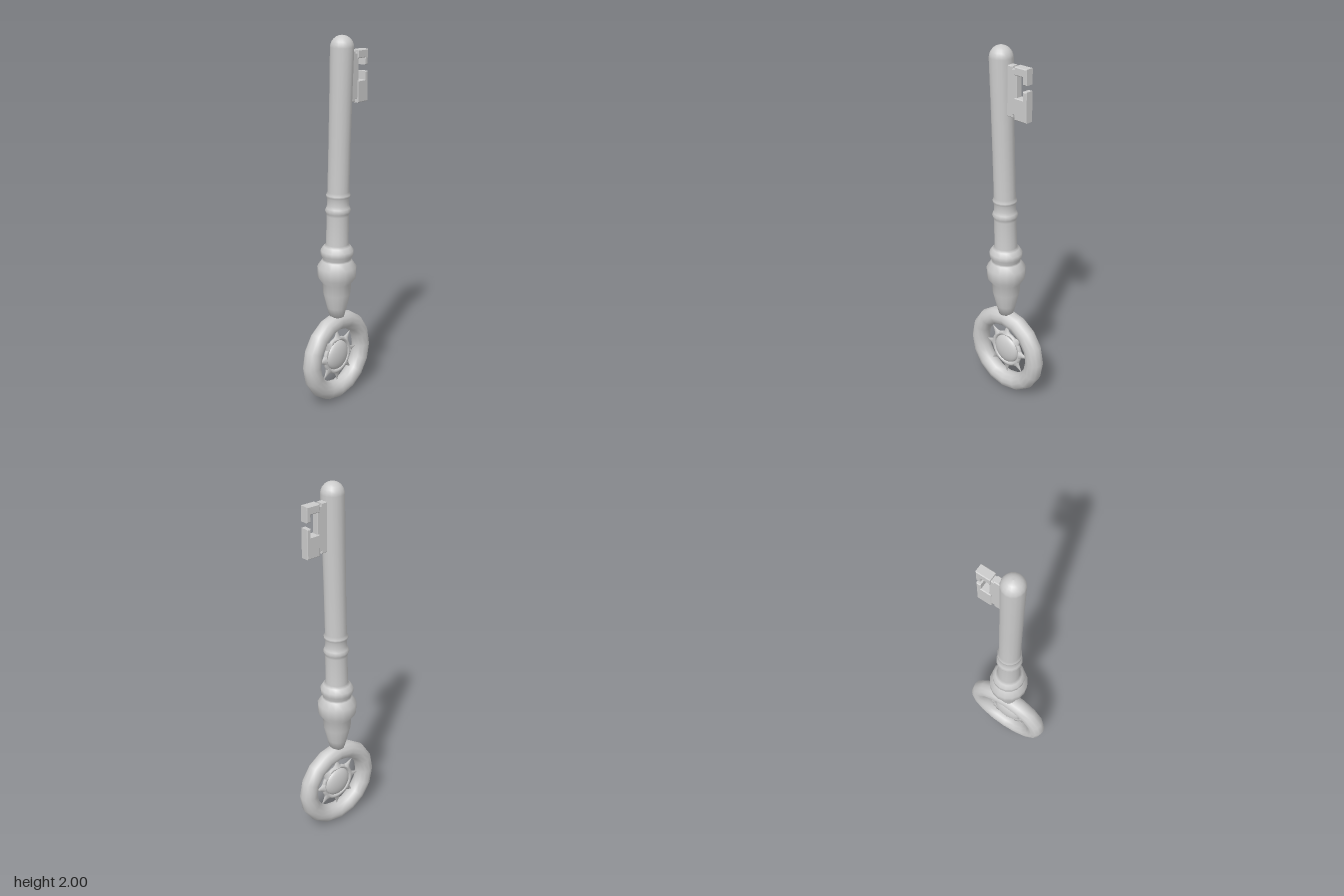
import * as THREE from 'three';

const material = new THREE.MeshStandardMaterial({ color: 0xcccccc, side: THREE.DoubleSide });

function add(parent, name, geometry, x = 0, y = 0, z = 0) {
  const mesh = new THREE.Mesh(geometry, material);
  mesh.name = name;
  mesh.position.set(x, y, z);
  parent.add(mesh);
  return mesh;
}

const points = (list) => list.map(([x, y]) => new THREE.Vector2(x, y));

// Plate of a given thickness, centred on z = 0
function plate(outline, depth) {
  const bevel = 0.004;
  const geometry = new THREE.ExtrudeGeometry(new THREE.Shape(points(outline)), {
    depth: depth - 2 * bevel, bevelEnabled: true, bevelSize: bevel,
    bevelOffset: -bevel, bevelThickness: bevel, bevelSegments: 1,
  });
  return geometry.translate(0, 0, bevel - depth / 2);
}

// Forward lean of the shaft, growing towards the tip
function lean(y) {
  if (y < 0.8) return 0;
  if (y < 1.2) return 0.01 * (y - 0.8) / 0.4;
  return 0.01 + 0.024 * Math.min(1, (y - 1.2) / 0.74);
}

export function createModel() {
  const key = new THREE.Group();
  key.name = 'key';

  // Bow: round ring with a star and domed boss inside
  const bow = new THREE.Group();
  bow.name = 'bow';
  bow.position.set(0, 0.256, -0.003);
  key.add(bow);
  add(bow, 'bowRing', new THREE.TorusGeometry(0.205, 0.05, 12, 16));
  add(bow, 'starRing', new THREE.TorusGeometry(0.096, 0.012, 8, 32));
  const boss = add(bow, 'boss', new THREE.SphereGeometry(0.084, 24, 16));
  boss.scale.z = 0.4;
  for (let i = 0; i < 8; i++) {
    const angle = i * Math.PI / 4;
    const spike = add(bow, 'starSpike', new THREE.LatheGeometry(
      points([[0.034, 0], [0.017, 0.017], [0.009, 0.037], [0, 0.062]]), 8),
      -Math.sin(angle) * 0.096, Math.cos(angle) * 0.096);
    spike.rotation.z = angle;
    spike.scale.z = 0.5;
  }

  // Turned stem: tapered socket, collars, shaft and domed tip
  const profile = [
    [0, 0.49], [0.04, 0.495], [0.055, 0.55], [0.074, 0.63], [0.078, 0.69],
    [0.103, 0.725], [0.105, 0.785], [0.08, 0.82], [0.075, 0.83],
    [0.088, 0.853], [0.088, 0.878], [0.072, 0.9], [0.06, 0.912],
    [0.059, 1.07], [0.063, 1.085], [0.069, 1.1], [0.063, 1.113], [0.057, 1.13],
    [0.057, 1.165], [0.064, 1.175], [0.064, 1.185], [0.057, 1.2],
    [0.057, 1.45], [0.058, 1.7], [0.06, 1.94],
  ];
  for (let i = 1; i <= 6; i++) {
    const a = i * Math.PI / 12;
    profile.push([0.06 * Math.cos(a), 1.94 + 0.06 * Math.sin(a)]);
  }
  const stem = new THREE.LatheGeometry(points(profile), 16);
  const position = stem.attributes.position;
  for (let i = 0; i < position.count; i++) {
    position.setZ(i, position.getZ(i) + lean(position.getY(i)));
  }
  add(key, 'stem', stem, -0.004);

  // Bit: root plate, hooked upper tooth and stepped lower tooth
  const bit = new THREE.Group();
  bit.name = 'bit';
  bit.position.z = 0.03;
  key.add(bit);
  add(bit, 'bitRoot', plate([
    [0.03, 1.66], [0.085, 1.66], [0.085, 1.675], [0.11, 1.675],
    [0.11, 1.905], [0.085, 1.905], [0.085, 1.917], [0.03, 1.917],
  ], 0.038)).userData = {};
  add(bit, 'upperTooth', plate([
    [0.098, 1.876], [0.153, 1.876], [0.153, 1.839], [0.177, 1.839],
    [0.177, 1.918], [0.098, 1.918],
  ], 0.048));
  add(bit, 'lowerTooth', plate([
    [0.098, 1.653], [0.177, 1.653], [0.177, 1.807], [0.153, 1.807],
    [0.153, 1.765], [0.098, 1.765],
  ], 0.048));

  return key;
}
